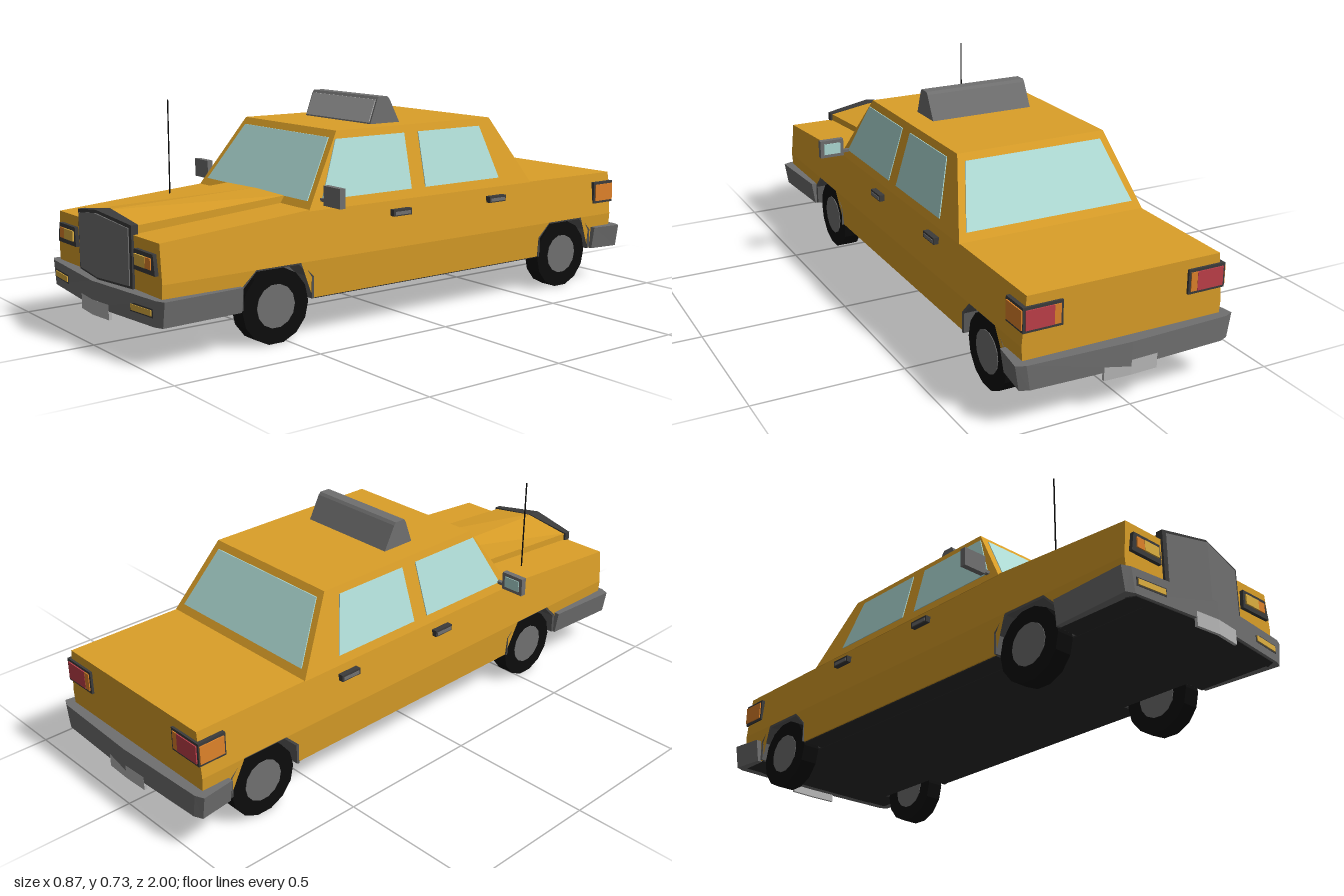
import * as THREE from 'three';

const mat = (color) => new THREE.MeshStandardMaterial({ color, flatShading: true });
const M = {
  paint: mat(0xdb9f28), glass: mat(0xafdcd6), trim: mat(0x707070), dark: mat(0x3c3c3c),
  tire: mat(0x0c0c0c), floor: mat(0x2b2b2b), plate: mat(0xb8b8b8),
  amber: mat(0xe0832a), yellow: mat(0xdfb040), red: mat(0xc0404a), well: mat(0x5a5a5a),
};

export function createModel() {
  const car = new THREE.Group();
  car.name = 'car';

  const add = (name, geo, material, x = 0, y = 0, z = 0) => {
    const mesh = new THREE.Mesh(geo, material);
    mesh.name = name;
    mesh.position.set(x, y, z);
    car.add(mesh);
    return mesh;
  };
  const box = (name, material, x0, x1, y0, y1, z0, z1) =>
    add(name, new THREE.BoxGeometry(Math.abs(x1 - x0), y1 - y0, Math.abs(z1 - z0)), material,
      (x0 + x1) / 2, (y0 + y1) / 2, (z0 + z1) / 2);

  // Joins rings of [x, y, z] points into a closed solid, facing outwards
  const loft = (name, rings, material) => {
    const tris = [];
    const n = rings[0].length;
    for (let r = 0; r + 1 < rings.length; r++) {
      for (let i = 0; i < n; i++) {
        const a = rings[r][i], b = rings[r][(i + 1) % n];
        const c = rings[r + 1][(i + 1) % n], d = rings[r + 1][i];
        tris.push([a, b, c], [a, c, d]);
      }
    }
    const first = rings[0], last = rings[rings.length - 1];
    for (let i = 1; i + 1 < n; i++) {
      tris.push([first[0], first[i + 1], first[i]], [last[0], last[i], last[i + 1]]);
    }
    const o = new THREE.Vector3(...first[0]);
    let volume = 0;
    for (const t of tris) {
      const [a, b, c] = t.map((p) => new THREE.Vector3(...p).sub(o));
      volume += a.dot(b.cross(c));
    }
    if (volume < 0) tris.forEach((t) => t.reverse());
    const geo = new THREE.BufferGeometry();
    geo.setAttribute('position', new THREE.Float32BufferAttribute(tris.flat(2), 3));
    geo.computeVertexNormals();
    return add(name, geo, material);
  };

  // Half width of the body sides at a height
  const halfWidth = (y) => (y < 0.25 ? 0.335 + (y - 0.13) * 0.083 : 0.345 - (y - 0.25) * 0.097);

  // Lower body: three blocks that leave the wheel arches open
  const sills = {
    frontSill: [[0.945, 0.13], [0.675, 0.13], [0.675, 0.2], [0.625, 0.25], [0.945, 0.25]],
    middleSill: [[0.41, 0.13], [0.41, 0.2], [0.46, 0.25], [-0.635, 0.25], [-0.585, 0.2], [-0.585, 0.13]],
    rearSill: [[-0.85, 0.13], [-0.85, 0.2], [-0.8, 0.25], [-0.957, 0.25], [-0.957, 0.13]],
  };
  for (const [name, outline] of Object.entries(sills)) {
    loft(name, [-1, 1].map((s) => outline.map(([z, y]) => [s * halfWidth(y), y, z])), M.paint);
    const zs = outline.map((p) => p[0]).filter((z, i) => outline[i][1] === 0.13);
    box('underside', M.floor, -0.33, 0.33, 0.126, 0.131, zs[0], zs[1]);
  }
  box('floor', M.floor, -0.255, 0.255, 0.125, 0.131, 0.95, -0.96);

  // Upper body with boot and sloping front wings
  loft('upperBody', [[-0.957, 0.405], [0.41, 0.41], [0.945, 0.37]].map(([z, top]) => {
    const a = halfWidth(0.25), b = halfWidth(top);
    return [[-a, 0.25, z], [a, 0.25, z], [b, top, z], [-b, top, z]];
  }), M.paint);

  // Raised bonnet with a pointed front
  loft('bonnet', [[-0.17, 0.433, 0.395, 0.945], [0, 0.436, 0.42, 0.972], [0.17, 0.433, 0.395, 0.945]]
    .map(([x, yr, yf, zf]) => [[x, 0.35, 0.38], [x, 0.35, zf], [x, yf, zf], [x, yr, 0.395]]), M.paint);

  // Cabin and its windows
  const cabinT = (y) => (y - 0.405) / 0.235;
  const sideX = (y) => 0.332 - 0.067 * cabinT(y);
  const frontZ = (y) => 0.42 - 0.155 * cabinT(y);
  const rearZ = (y) => -0.545 + 0.145 * cabinT(y);
  loft('cabin', [0.405, 0.64].map((y) => [
    [-sideX(y), y, frontZ(y)], [sideX(y), y, frontZ(y)], [sideX(y), y, rearZ(y)], [-sideX(y), y, rearZ(y)],
  ]), M.paint);
  const pane = (name, outline, place) =>
    loft(name, [-0.006, 0.003].map((d) => outline.map(([u, y]) => place(u, y, d))), M.glass);
  const wide = [[-0.3, 0.432], [0.3, 0.432], [0.245, 0.618], [-0.245, 0.618]];
  pane('windscreen', wide, (x, y, d) => [x, y, frontZ(y) + d]);
  pane('rearWindow', wide, (x, y, d) => [x, y, rearZ(y) - d]);
  for (const s of [-1, 1]) {
    const onSide = (z, y, d) => [s * (sideX(y) + d), y, z];
    pane('frontSideWindow', [[0.365, 0.435], [0, 0.435], [-0.008, 0.615], [0.275, 0.615]], onSide);
    pane('rearSideWindow', [[-0.06, 0.435], [-0.395, 0.435], [-0.345, 0.615], [-0.068, 0.615]], onSide);
  }

  // Roof sign
  loft('roofSign', [-0.185, 0.185].map((x) => [
    [x, 0.635, 0.066], [x, 0.72, 0.035], [x, 0.729, 0.028], [x, 0.729, -0.01], [x, 0.72, -0.018], [x, 0.635, -0.063],
  ]), M.trim);
  loft('signPanel', [-0.178, 0.178].map((x) => [
    [x, 0.645, 0.055], [x, 0.645, 0.066], [x, 0.72, 0.038], [x, 0.72, 0.028],
  ]), M.plate);

  // Grille: dark frame with a panel, bent along the middle
  const grille = (name, hw, y0, ySide, yMid, z, material) =>
    loft(name, [[-hw, ySide, z - 0.025], [0, yMid, z], [hw, ySide, z - 0.025]].map(([x, top, zf]) => [
      [x, y0, 0.93], [x, y0, zf], [x, top, zf], [x, top, 0.93],
    ]), material);
  grille('grilleFrame', 0.178, 0.205, 0.4, 0.424, 0.978, M.dark);
  grille('grillePanel', 0.166, 0.215, 0.39, 0.414, 0.983, M.trim);

  // Bumpers wrap round the ends; path points are outer x, z and inner x, z
  const bumper = (name, half) => {
    const path = [...half.map(([a, b, c, d]) => [-a, b, -c, d]), ...[...half].reverse().slice(1)];
    loft(name, path.map(([xo, zo, xi, zi]) => [
      [xo * 0.965, 0.127, zo], [xo, 0.207, zo], [xi, 0.207, zi], [xi * 0.965, 0.127, zi],
    ]), M.trim);
  };
  bumper('frontBumper', [[0.36, 0.68, 0.33, 0.68], [0.375, 0.955, 0.335, 0.93], [0.345, 0.967, 0.3, 0.93], [0, 1, 0, 0.93]]);
  bumper('rearBumper', [[0.36, -0.86, 0.33, -0.86], [0.375, -0.975, 0.335, -0.95], [0.345, -0.988, 0.3, -0.95], [0, -1, 0, -0.95]]);
  loft('bumperUnderside', [0.124, 0.129].map((y) => [
    [-0.335, y, 0.93], [0.335, y, 0.93], [0.32, y, 0.96], [0, y, 0.99], [-0.32, y, 0.96],
  ]), M.floor);

  // Number plates follow the bumper bend
  for (const s of [-1, 1]) {
    loft(s > 0 ? 'frontPlate' : 'rearPlate', [-0.092, 0, 0.092].map((x) => {
      const z = s * (1 - Math.abs(x) * (s > 0 ? 0.095 : 0.035));
      return [[x, 0.1, z], [x, 0.148, z], [x, 0.148, z - s * 0.01], [x, 0.1, z - s * 0.01]];
    }), M.plate);
  }

  // Lamps, mirrors and door handles on both sides
  for (const s of [-1, 1]) {
    loft('headlampFrame', [0.93, 0.957].map((z) => [
      [s * 0.195, 0.273, z], [s * 0.325, 0.273, z], [s * 0.314, 0.336, z], [s * 0.2, 0.336, z],
    ]), M.dark);
    box('headlamp', M.yellow, s * 0.208, s * 0.272, 0.289, 0.323, 0.95, 0.962);
    box('indicator', M.amber, s * 0.272, s * 0.304, 0.289, 0.323, 0.95, 0.961);

    const fogZ = (x) => 1 - 0.0957 * x;
    const fog = (name, x0, x1, y0, y1, d, m) => loft(name, [x0, x1].map((x) => [
      [s * x, y0, fogZ(x) - 0.02], [s * x, y0, fogZ(x) + d], [s * x, y1, fogZ(x) + d], [s * x, y1, fogZ(x) - 0.02],
    ]), m);
    fog('fogLampFrame', 0.21, 0.328, 0.153, 0.181, 0.0, M.dark);
    fog('fogLamp', 0.216, 0.322, 0.158, 0.176, 0.003, M.yellow);

    box('tailLampFrame', M.dark, s * 0.215, s * 0.346, 0.295, 0.374, -0.866, -0.965);
    box('tailLamp', M.red, s * 0.245, s * 0.338, 0.304, 0.365, -0.95, -0.969);
    box('reverseLamp', M.amber, s * 0.223, s * 0.245, 0.304, 0.365, -0.95, -0.968);
    box('sideMarker', M.amber, s * 0.33, s * 0.35, 0.304, 0.365, -0.873, -0.962);

    box('mirrorStalk', M.trim, s * 0.3, s * 0.365, 0.431, 0.441, 0.357, 0.371);
    box('mirrorHousing', M.trim, s * 0.347, s * 0.434, 0.421, 0.484, 0.356, 0.376);
    box('mirrorGlass', M.glass, s * 0.36, s * 0.421, 0.433, 0.472, 0.353, 0.36);

    for (const z of [0.058, -0.368]) {
      box('doorHandle', M.dark, s * 0.325, s * 0.352, 0.355, 0.377, z - 0.038, z + 0.038);
      box('handleGrip', M.trim, s * 0.33, s * 0.354, 0.359, 0.37, z - 0.032, z + 0.032);
    }
  }

  // Wheels, hubs and arch liners
  for (const wz of [0.543, -0.718]) {
    box('wheelWell', M.well, -0.25, 0.25, 0.13, 0.25, wz - 0.134, wz + 0.134);
    for (const s of [-1, 1]) {
      const arch = [[-0.133, 0.13], [-0.133, 0.2], [-0.083, 0.25], [0.083, 0.25], [0.133, 0.2], [0.133, 0.13]];
      loft('archLiner', arch.map(([z, y]) => {
        const zi = wz + z * 0.95, yi = 0.125 + (y - 0.125) * 0.95;
        return [[s * 0.343, y, wz + z], [s * 0.34, yi, zi], [s * 0.24, yi, zi], [s * 0.24, y, wz + z]];
      }), M.well);
      const tire = new THREE.CylinderGeometry(0.122, 0.122, 0.062, 14).rotateZ(Math.PI / 2);
      add('tire', tire, M.tire, s * 0.295, 0.122, wz);
      const hub = new THREE.CylinderGeometry(0.07, 0.07, 0.066, 14).rotateZ(Math.PI / 2);
      add('hub', hub, M.trim, s * 0.295, 0.122, wz);
    }
  }

  // Aerial on the right wing
  add('aerial', new THREE.CylinderGeometry(0.0025, 0.0025, 0.33, 6), M.tire, -0.244, 0.555, 0.587);

  return car;
}
